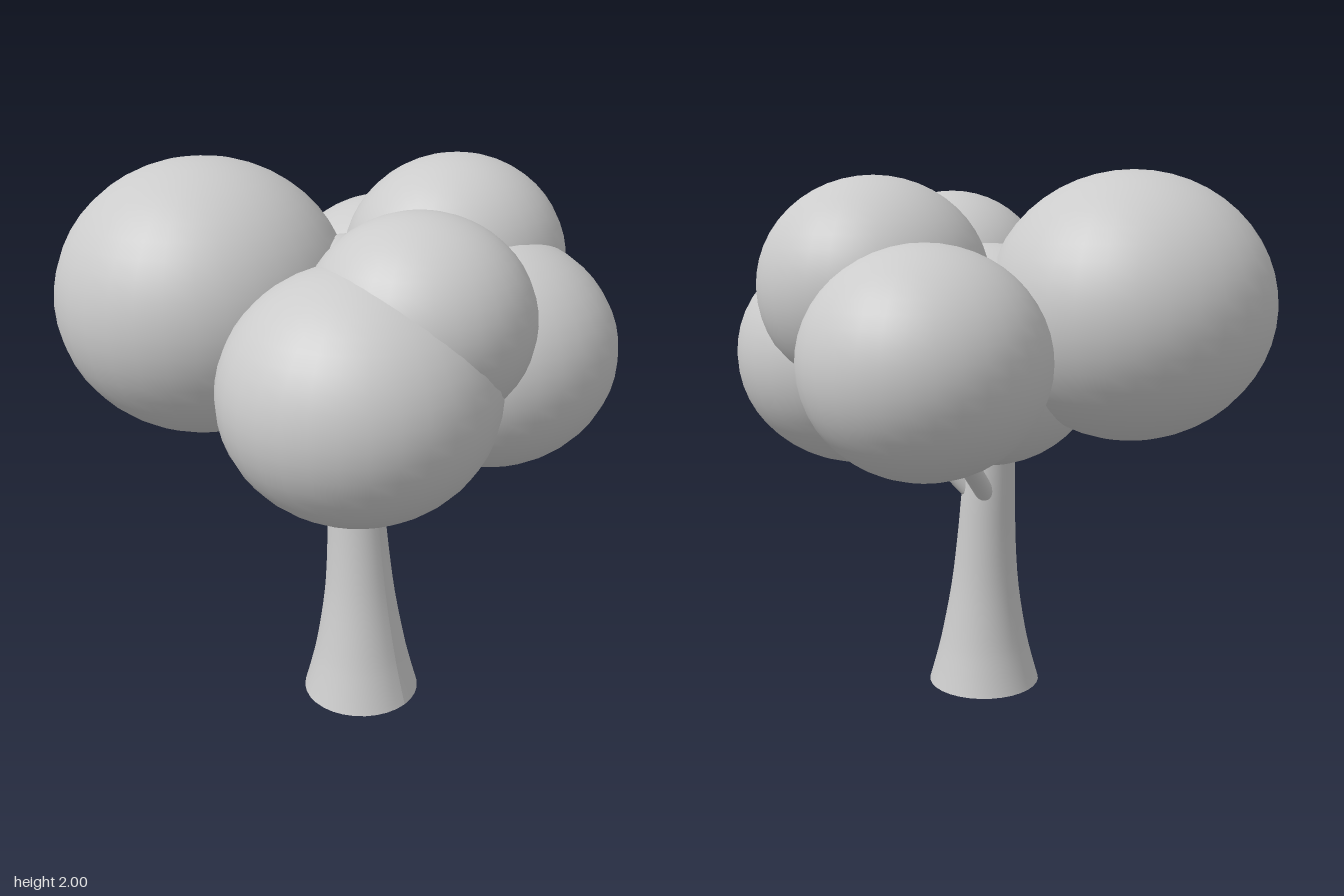
import * as THREE from 'three';

const material = new THREE.MeshStandardMaterial({ color: 0xcccccc });
const openMaterial = new THREE.MeshStandardMaterial({ color: 0xcccccc, side: THREE.DoubleSide });

function add(parent, name, geometry, mat = material) {
  const mesh = new THREE.Mesh(geometry, mat);
  mesh.name = name;
  parent.add(mesh);
  return mesh;
}

// Flared trunk: a lathe whose rings are shifted along a gentle lean
function trunkGeometry() {
  const profile = new THREE.SplineCurve([
    [0.218, 0], [0.193, 0.09], [0.167, 0.2], [0.133, 0.4],
    [0.114, 0.6], [0.103, 0.8], [0.092, 0.96],
  ].map(([r, y]) => new THREE.Vector2(r, y))).getPoints(20);
  profile.push(new THREE.Vector2(0, 0.97));
  const geometry = new THREE.LatheGeometry(profile, 32);
  const p = geometry.attributes.position;
  for (let i = 0; i < p.count; i++) {
    const t = p.getY(i);
    p.setX(i, p.getX(i) - 0.107 + 0.025 * t);
    p.setZ(i, p.getZ(i) + 0.157 - 0.025 * t - 0.048 * t * t);
  }
  geometry.computeVertexNormals();
  return geometry;
}

// Round-ended branch between two points
function addBranch(parent, name, from, to, radius) {
  const a = new THREE.Vector3(...from), b = new THREE.Vector3(...to);
  const dir = b.clone().sub(a);
  const mesh = add(parent, name, new THREE.CapsuleGeometry(radius, dir.length(), 6, 16));
  mesh.position.copy(a).add(b).multiplyScalar(0.5);
  mesh.quaternion.setFromUnitVectors(new THREE.Vector3(0, 1, 0), dir.normalize());
}

export function createModel() {
  const tree = new THREE.Group();
  tree.name = 'tree';

  add(tree, 'trunk', trunkGeometry(), openMaterial);

  // Branches reaching into the crown
  const branches = new THREE.Group();
  branches.name = 'branches';
  tree.add(branches);
  addBranch(branches, 'frontRightBranch', [-0.15, 0.81, 0.15], [-0.34, 1.1, 0.32], 0.035);
  addBranch(branches, 'frontLeftBranch', [-0.015, 0.81, 0.15], [0.18, 1.08, 0.3], 0.035);
  addBranch(branches, 'backLeftBranch', [-0.03, 0.8, 0.06], [0.31, 1.15, -0.09], 0.037);

  // Crown of overlapping, slightly flattened balls: centre, then radii
  const crown = new THREE.Group();
  crown.name = 'crown';
  tree.add(crown);
  const clumps = {
    centreFoliage: [[-0.04, 1.33, 0.05], [0.43, 0.41, 0.42]],
    backRightFoliage: [[-0.347, 1.52, -0.37], [0.525, 0.48, 0.512]],
    backLeftFoliage: [[0.47, 1.375, -0.215], [0.425, 0.39, 0.418]],
    upperLeftFoliage: [[0.382, 1.597, 0.175], [0.418, 0.383, 0.397]],
    frontRightFoliage: [[-0.443, 1.38, 0.43], [0.454, 0.41, 0.447]],
    frontLeftFoliage: [[0.28, 1.333, 0.413], [0.46, 0.413, 0.452]],
    upperFrontFoliage: [[-0.24, 1.58, 0.5], [0.375, 0.345, 0.37]],
  };
  for (const [name, [centre, radii]] of Object.entries(clumps)) {
    const ball = add(crown, name, new THREE.SphereGeometry(1, 32, 24));
    ball.position.set(...centre);
    ball.scale.set(...radii);
  }
  return tree;
}
